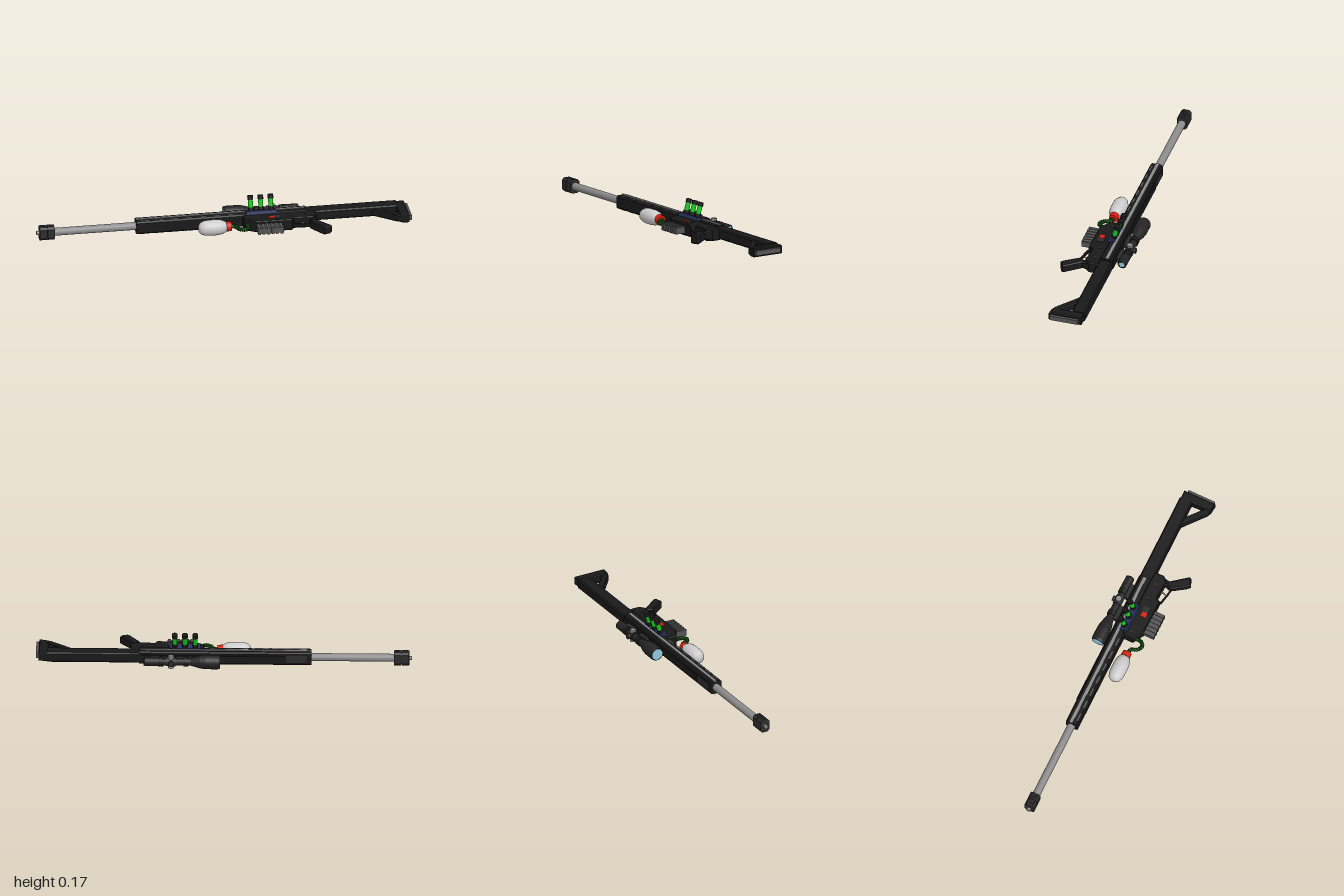
import * as THREE from 'three';

const mat = (color, extra = {}) => new THREE.MeshStandardMaterial({ color, ...extra });
const M = {
  black: mat(0x191919), dark: mat(0x2c2c2c), mid: mat(0x555555), grey: mat(0x8c8c8c),
  pale: mat(0xcccccc), red: mat(0xd82010), green: mat(0x10c818), hose: mat(0x175a17),
  blue: mat(0x28325a), lens: mat(0x8cc8dc),
};

export function createModel() {
  const root = new THREE.Group();
  root.name = 'rifle';
  const gun = new THREE.Group(); // lies on its side: y is the thickness, +z the underside
  gun.name = 'rifleBody';
  gun.position.y = 0.043;
  root.add(gun);

  const add = (name, geo, m, parent = gun) => {
    const mesh = new THREE.Mesh(geo, m);
    mesh.name = name;
    parent.add(mesh);
    return mesh;
  };
  // box given by its extents
  const box = (name, x0, x1, y0, y1, z0, z1, m) =>
    add(name, new THREE.BoxGeometry(x1 - x0, y1 - y0, z1 - z0)
      .translate((x0 + x1) / 2, (y0 + y1) / 2, (z0 + z1) / 2), m);
  const poly = (pts) => pts.map(([a, b]) => new THREE.Vector2(a, b));
  // side outline in (x, z), extruded through half thickness h both ways, edges bevelled
  const plate = (name, pts, h, m, bevel = 0.005, hole) => {
    const s = new THREE.Shape(poly(pts));
    if (hole) s.holes.push(new THREE.Path(poly(hole)));
    const geo = new THREE.ExtrudeGeometry(s, {
      depth: 2 * (h - bevel), bevelEnabled: bevel > 0, bevelThickness: bevel,
      bevelSize: bevel, bevelOffset: -bevel, bevelSegments: 1,
    });
    return add(name, geo.translate(0, 0, bevel - h).rotateX(Math.PI / 2), m);
  };
  // chamfered bar running along x
  const bar = (name, x0, x1, h, z0, z1, c, m) => {
    const s = new THREE.Shape(poly([[-z1 + c, -h], [-z0 - c, -h], [-z0, -h + c], [-z0, h - c],
      [-z0 - c, h], [-z1 + c, h], [-z1, h - c], [-z1, -h + c]]));
    const geo = new THREE.ExtrudeGeometry(s, { depth: x1 - x0, bevelEnabled: false });
    return add(name, geo.rotateY(Math.PI / 2).translate(x0, 0, 0), m);
  };
  // round part along x at height z, radius r0 at x0 and r1 at x1
  const rod = (name, x0, x1, r0, r1, z, m, seg = 24) =>
    add(name, new THREE.CylinderGeometry(r1, r0, x1 - x0, seg)
      .rotateZ(-Math.PI / 2).translate((x0 + x1) / 2, 0, z), m);
  // upright disc along y
  const disc = (name, x, z, r, h, m, y = 0) =>
    add(name, new THREE.CylinderGeometry(r, r, h, 16).translate(x, y, z), m);

  // barrel and muzzle brake
  const bz = -0.057;
  rod('barrel', -0.92, -0.44, 0.021, 0.021, bz, M.grey);
  rod('muzzleTip', -1, -0.9, 0.011, 0.011, bz, M.grey);
  for (const x of [-0.985, -0.943]) {
    bar('muzzleBaffle', x, x + 0.038, 0.037, bz - 0.028, bz + 0.028, 0.012, M.dark);
    disc('brakePort', x + 0.019, bz, 0.011, 0.076, M.black);
  }
  bar('muzzleCore', -0.95, -0.94, 0.031, bz - 0.024, bz + 0.024, 0.01, M.black);

  // handguard and upper receiver
  bar('upperReceiver', -0.465, 0.45, 0.036, -0.09, -0.022, 0.008, M.black);
  for (const s of [-1, 1]) {
    const y0 = s > 0 ? 0.034 : -0.04;
    box('sideStrip', -0.465, 0.445, y0, y0 + 0.006, -0.069, -0.053, M.grey);
    for (let i = 0; i < 7; i++) {
      const x = -0.44 + i * 0.078;
      box('ventSlot', x, x + 0.045, s * 0.036 - 0.001, s * 0.036 + 0.001, -0.04, -0.03, M.mid);
    }
  }
  box('topRail', -0.32, 0.45, -0.017, 0.017, -0.097, -0.088, M.black);
  box('topPanel', -0.44, -0.33, -0.02, 0.02, -0.092, -0.088, M.dark);

  // lower receiver
  plate('lowerReceiver', [[0.105, -0.03], [0.5, -0.03], [0.5, 0.025], [0.475, 0.05], [0.37, 0.045],
    [0.36, 0.068], [0.165, 0.065], [0.105, 0.03]], 0.032, M.black);
  for (const s of [-1, 1]) {
    box('redSwitch', 0.24, 0.268, s * 0.033 - 0.003, s * 0.033 + 0.003, 0.01, 0.038, M.red);
    box('switchPlate', 0.268, 0.3, s * 0.0325 - 0.002, s * 0.0325 + 0.002, 0.004, 0.042, M.dark);
    for (const x of [0.14, 0.35, 0.44]) disc('pin', x, 0.005, 0.007, 0.003, M.dark, s * 0.032);
  }

  // ribbed magazine
  box('magazine', 0.165, 0.305, -0.015, 0.015, 0.04, 0.122, M.mid);
  for (let i = 0; i < 6; i++) {
    const x = 0.166 + i * 0.024;
    box('magazineRib', x, x + 0.015, -0.019, 0.019, 0.05, 0.125, M.mid);
  }

  // trigger, guard and grip
  plate('triggerGuard', [[0.36, 0.035], [0.475, 0.035], [0.455, 0.092], [0.425, 0.088], [0.36, 0.075]],
    0.009, M.black, 0, [[0.367, 0.042], [0.46, 0.042], [0.448, 0.084], [0.427, 0.081], [0.367, 0.068]]);
  add('trigger', new THREE.TubeGeometry(new THREE.CatmullRomCurve3([
    new THREE.Vector3(0.41, 0, 0.04), new THREE.Vector3(0.42, 0, 0.058), new THREE.Vector3(0.413, 0, 0.075),
  ]), 8, 0.004, 6), M.grey);
  plate('grip', [[0.43, 0.02], [0.5, 0.0], [0.488, 0.062], [0.557, 0.15], [0.55, 0.162],
    [0.515, 0.175], [0.5, 0.16], [0.45, 0.085], [0.465, 0.06]], 0.023, M.black, 0.006);

  // stock with diagonal brace, butt and pad
  bar('stock', 0.44, 0.94, 0.028, -0.093, -0.02, 0.007, M.black);
  plate('stockBrace', [[0.785, -0.03], [0.84, -0.03], [0.945, 0.058], [0.945, 0.092], [0.92, 0.082]],
    0.02, M.black, 0.004);
  plate('butt', [[0.93, -0.088], [0.985, -0.088], [0.985, 0.095], [0.945, 0.09], [0.935, 0.06]],
    0.0235, M.black, 0.004);
  box('buttPad', 0.98, 1, -0.013, 0.013, -0.07, 0.086, M.mid);

  // scope
  const sz = -0.137;
  const profile = [[0.03, 0.02], [0.034, 0.02], [0.038, 0.03], [0.038, 0.095], [0.034, 0.125], [0.02, 0.175],
    [0.019, 0.32], [0.024, 0.345], [0.024, 0.42], [0.02, 0.425], [0.015, 0.425], [0.015, 0.41]];
  add('scopeTube', new THREE.LatheGeometry(poly(profile), 28).rotateZ(-Math.PI / 2)
    .translate(0, 0, sz), mat(0x242424, { side: THREE.DoubleSide, flatShading: true }));
  rod('frontLens', 0.02, 0.028, 0.031, 0.031, sz, M.lens);
  rod('rearLens', 0.413, 0.423, 0.0155, 0.0155, sz, M.lens);
  for (const x of [0.2, 0.335]) {
    rod('scopeRing', x - 0.014, x + 0.014, 0.025, 0.025, sz, M.black);
    box('scopeMount', x - 0.03, x + 0.055, -0.014, 0.014, -0.118, -0.094, M.dark);
  }
  rod('turretBand', 0.255, 0.305, 0.024, 0.024, sz, M.dark);
  disc('sideTurrets', 0.28, sz, 0.016, 0.068, M.grey);
  add('topTurret', new THREE.CylinderGeometry(0.015, 0.015, 0.034, 16).rotateX(Math.PI / 2)
    .translate(0.28, 0, sz - 0.018), M.dark);

  // gas tank, red collar and ribbed hose
  const tank = [[0, -0.142], [0.018, -0.14], [0.032, -0.129], [0.04, -0.108], [0.042, -0.08], [0.042, -0.045],
    [0.038, -0.015], [0.028, 0.005], [0.018, 0.012], [0, 0.012]];
  add('tank', new THREE.LatheGeometry(poly(tank), 28).rotateZ(-Math.PI / 2).translate(0, 0, 0.032), M.pale);
  rod('tankCollar', 0.008, 0.036, 0.027, 0.024, 0.032, M.red);
  const path = new THREE.CatmullRomCurve3([[0.03, 0.032], [0.058, 0.042], [0.072, 0.072], [0.1, 0.088],
    [0.122, 0.068], [0.122, 0.03]].map(([x, z]) => new THREE.Vector3(x, 0, z)));
  add('hose', new THREE.TubeGeometry(path, 40, 0.009, 10), M.hose);
  for (let i = 1; i < 16; i++) {
    const ring = add('hoseRib', new THREE.TorusGeometry(0.009, 0.003, 6, 12), M.hose);
    ring.position.copy(path.getPointAt(i / 16));
    ring.lookAt(ring.position.clone().add(path.getTangentAt(i / 16)));
  }

  // blue holder with three tilted green vials
  const holder = box('vialHolder', -0.082, 0.082, -0.012, 0.009, -0.02, 0.02, M.blue);
  holder.position.set(0.207, 0.041, -0.036);
  holder.rotation.x = -0.285;
  for (const x of [0.153, 0.208, 0.262]) {
    const vial = new THREE.Group();
    vial.name = 'vial';
    vial.position.set(x, 0.042, -0.04);
    vial.rotation.x = -0.285;
    gun.add(vial);
    const part = (name, y0, y1, r, m) =>
      add(name, new THREE.CylinderGeometry(r, r, y1 - y0, 20).translate(0, (y0 + y1) / 2, 0), m, vial);
    part('vialBase', 0, 0.025, 0.0155, M.black);
    part('vialGlass', 0.02, 0.07, 0.013, M.green);
    part('vialCap', 0.066, 0.088, 0.0155, M.black);
  }
  return root;
}
